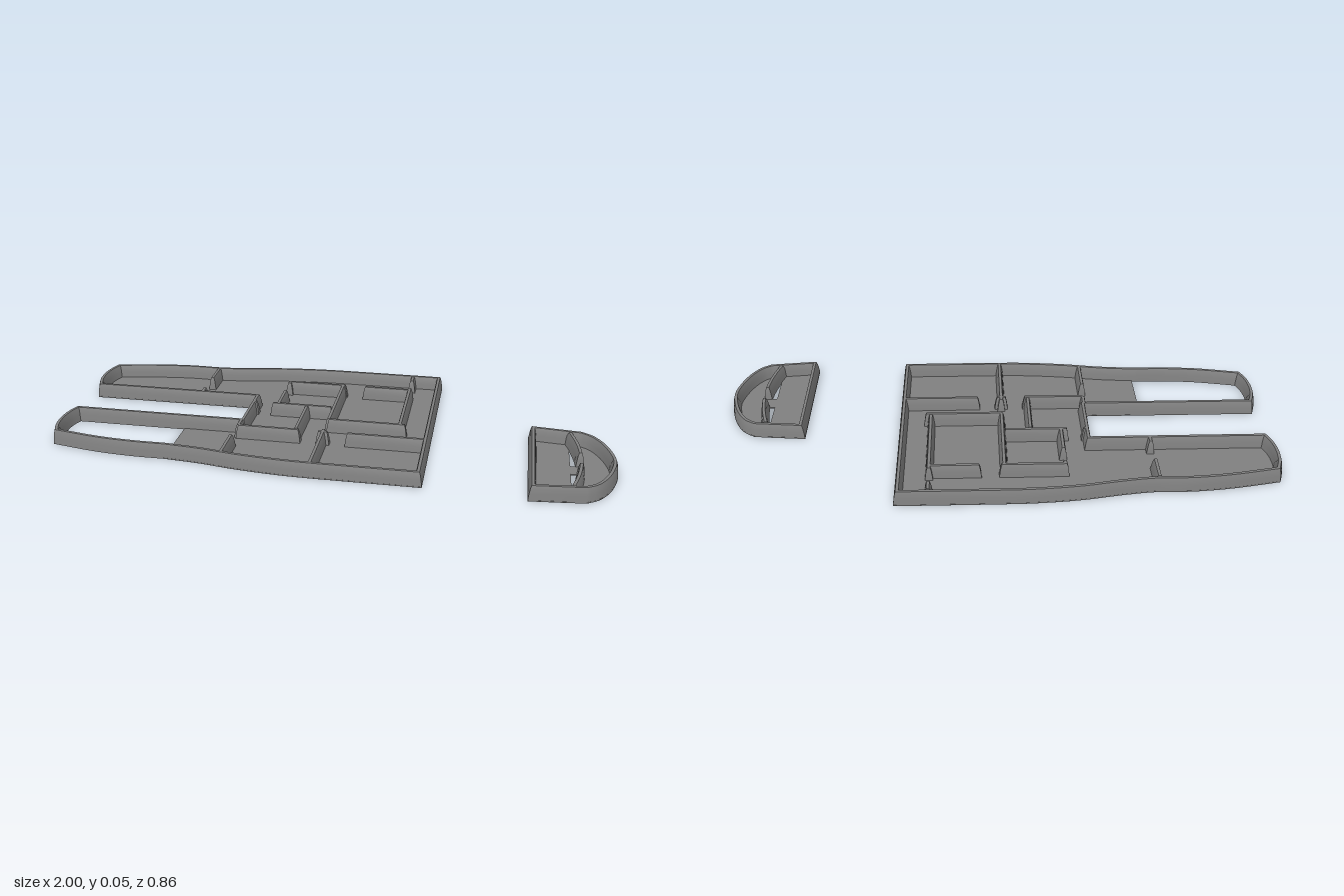
import * as THREE from 'three';
import { toCreasedNormals } from 'three/addons/utils/BufferGeometryUtils.js';

const HALF = 0.0145; // half the width of a wall at its base
// Rounded, tapering wall section: [inset from the base edge, height]
const SIDE = [[0, 0], [0.003, 0.025], [0.006, 0.042], [0.0095, 0.053]];

// Smooth run of [x, z] points through a few control points
function smooth(points, steps = 24) {
  const curve = new THREE.CatmullRomCurve3(points.map(([x, z]) => new THREE.Vector3(x, 0, z)));
  return curve.getPoints(steps).map((p) => [p.x, p.z]);
}

// Sweeps the wall section along a path of [x, z] points with mitred corners.
// shift moves the wall sideways, to the inside of a clockwise outline.
function sweepWall(path, closed, shift = 0) {
  const section = [
    ...SIDE.map(([i, y]) => [-HALF + i, y, i]),
    ...SIDE.slice().reverse().map(([i, y]) => [HALF - i, y, i]),
  ];
  const n = path.length;
  const m = section.length;
  const direction = (a, b) => new THREE.Vector2(b[0] - a[0], b[1] - a[1]).normalize();
  const rings = path.map((p, k) => {
    const first = !closed && k === 0;
    const last = !closed && k === n - 1;
    const before = first ? null : direction(path[(k + n - 1) % n], p);
    const after = last ? null : direction(p, path[(k + 1) % n]);
    const d0 = before || after;
    const d1 = after || before;
    const t = d0.clone().add(d1).normalize();
    const miter = 1 / Math.max(0.4, t.dot(d1));
    const along = first ? 1 : last ? -1 : 0; // free ends taper like the sides
    return section.map(([o, y, inset]) => {
      const s = (o + shift) * miter;
      return [p[0] - t.y * s + t.x * along * inset, y, p[1] + t.x * s + t.y * along * inset];
    });
  });
  const out = [];
  const quad = (a, b, c, d) => out.push(...a, ...b, ...c, ...a, ...c, ...d);
  for (let k = 0; k < (closed ? n : n - 1); k++) {
    const r = rings[k];
    const s = rings[(k + 1) % n];
    for (let j = 0; j < m; j++) {
      const q = (j + 1) % m;
      quad(r[j], r[q], s[q], s[j]);
    }
  }
  if (!closed) {
    const a = rings[0];
    const b = rings[n - 1];
    for (let j = 0; j < SIDE.length - 1; j++) {
      quad(a[j], a[m - 1 - j], a[m - 2 - j], a[j + 1]);
      quad(b[m - 1 - j], b[j], b[j + 1], b[m - 2 - j]);
    }
  }
  const geometry = new THREE.BufferGeometry();
  geometry.setAttribute('position', new THREE.Float32BufferAttribute(out, 3));
  return toCreasedNormals(geometry, 0.5);
}

// Thin floor plate from an [x, z] outline
function floorPlate(outline) {
  const shape = new THREE.Shape(outline.map(([x, z]) => new THREE.Vector2(x, -z)));
  return new THREE.ExtrudeGeometry(shape, { depth: 0.004, bevelEnabled: false }).rotateX(-Math.PI / 2);
}

export function createModel() {
  const model = new THREE.Group();
  model.name = 'floorPlan';
  const grey = new THREE.MeshStandardMaterial({ color: 0x808080 });
  grey.name = 'grey';

  function add(parent, name, geometry) {
    const mesh = new THREE.Mesh(geometry, grey);
    mesh.name = name;
    parent.add(mesh);
  }

  // Main building: a wide block with two long wings
  const building = new THREE.Group();
  building.name = 'mainBuilding';
  const backEdge = smooth([[-0.975, -0.34], [-0.8, -0.371], [-0.66, -0.384], [-0.54, -0.383], [-0.42, -0.397],
    [-0.28, -0.42], [-0.12, -0.433], [0, -0.435]]);
  const frontBody = smooth([[0, 0.4], [-0.12, 0.397], [-0.28, 0.382], [-0.42, 0.36], [-0.55, 0.348]]);
  const frontWing = smooth([[-0.55, 0.348], [-0.66, 0.348], [-0.8, 0.337], [-0.975, 0.305]], 12);
  const frontTip = smooth([[-0.975, 0.305], [-0.994, 0.25], [-1, 0.192], [-0.994, 0.135], [-0.975, 0.08]], 10);
  const backTip = smooth([[-0.975, -0.115], [-0.994, -0.17], [-1, -0.227], [-0.994, -0.285], [-0.975, -0.34]], 10);
  const block = [[0.355, -0.435], [0.355, 0.4]];
  const court = [[-0.345, 0.08], [-0.345, -0.115]];

  add(building, 'outerWall', sweepWall([
    ...backEdge, ...block, ...frontBody, ...frontWing.slice(1), ...frontTip.slice(1),
    ...court, ...backTip.slice(0, -1),
  ], true, HALF));
  // The front wing has a floor only next to the block
  add(building, 'floor', floorPlate([
    ...backEdge, ...block, ...frontBody, [-0.55, 0.08], ...court, ...backTip.slice(0, -1),
  ]));

  // Room dividers: x1, z1, x2, z2
  const dividers = [
    [-0.55, -0.37, -0.55, -0.255], [-0.55, -0.17, -0.55, -0.125],
    [0.238, -0.42, 0.238, -0.36], [0.238, -0.305, 0.238, 0.04],
    [-0.25, -0.28, -0.005, -0.28], [0.055, -0.28, 0.245, -0.28],
    [-0.235, -0.29, -0.235, -0.255], [-0.235, -0.2, -0.235, -0.06],
    [-0.265, -0.07, -0.025, -0.07], [-0.34, -0.07, -0.31, -0.07],
    [-0.023, -0.285, -0.023, 0.045], [-0.03, 0.037, 0.265, 0.037],
    [-0.125, -0.07, -0.125, 0.145], [-0.343, 0.142, -0.105, 0.142],
    [-0.05, 0.142, 0, 0.142], [0.055, 0.142, 0.345, 0.142],
    [-0.335, 0.08, -0.335, 0.15], [-0.34, 0.215, -0.34, 0.365],
    [-0.025, 0.115, -0.025, 0.39],
  ];
  dividers.forEach(([x1, z1, x2, z2], i) => {
    add(building, `divider${i + 1}`, sweepWall([[x1, z1], [x2, z2]], false));
  });
  model.add(building);

  // Separate pavilion with a rounded end
  const pavilion = new THREE.Group();
  pavilion.name = 'pavilion';
  const round = smooth([[0.885, -0.022], [0.925, 0.005], [0.96, 0.055], [0.985, 0.12], [0.998, 0.194],
    [0.985, 0.268], [0.96, 0.333], [0.925, 0.383], [0.885, 0.41]]);
  add(pavilion, 'outerWall', sweepWall([[0.698, -0.04], ...round, [0.698, 0.428]], true, HALF));
  const bowed = (z) => [0.873 - 0.035 * ((z - 0.194) / 0.205) ** 2, z];
  const bowRun = (a, b) => Array.from({ length: 9 }, (_, i) => bowed(a + ((b - a) * i) / 8));
  add(pavilion, 'bowedWallBack', sweepWall(bowRun(-0.01, 0.167), false));
  add(pavilion, 'bowedWallFront', sweepWall(bowRun(0.222, 0.4), false));

  // Floors on each side of the bowed wall, joined at the doorway
  add(pavilion, 'innerFloor', floorPlate([[0.698, -0.04], [0.84, -0.027], [0.84, 0.415], [0.698, 0.428]]));
  add(pavilion, 'roundFloor', floorPlate([...round, ...bowRun(0.4, -0.01)]));
  add(pavilion, 'threshold', floorPlate([[0.838, 0.165], [0.875, 0.165], [0.875, 0.224], [0.838, 0.224]]));
  model.add(pavilion);

  return model;
}
